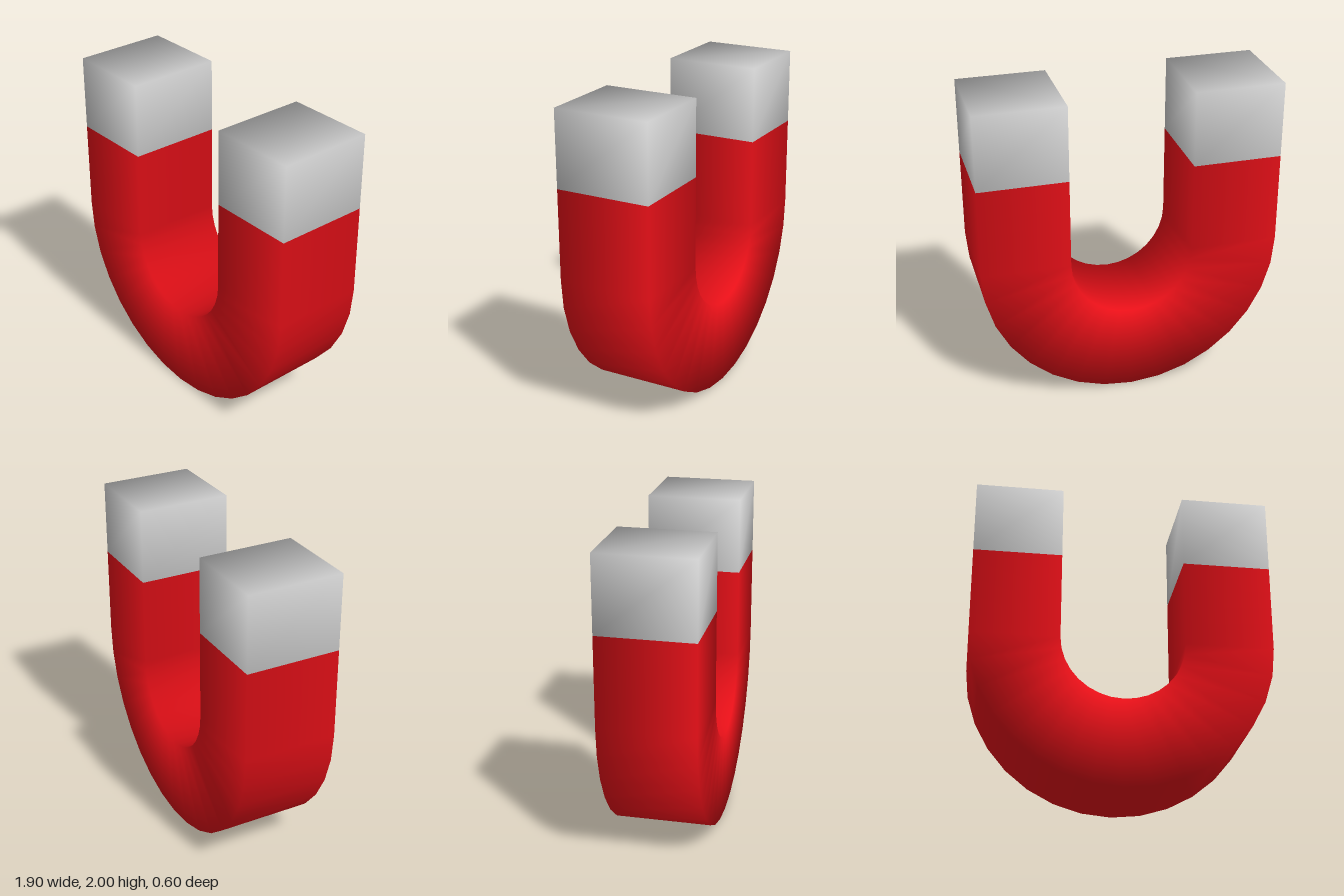
import * as THREE from 'three';

const OUTER = 0.95, INNER = 0.39, HALF_DEPTH = 0.3;
const POLE_Y = 1.52, TOP_Y = 2, ARC_SEGMENTS = 16;

// Rectangular section swept through stations { u: outward direction, y: centre height, lift: normal tilt along +y }.
// Corners share one normal so the edges shade softly.
function sweep(stations, capEnd) {
  const pos = [], nor = [], index = [];
  const corners = [[1, 1], [1, -1], [-1, -1], [-1, 1]]; // outer/inner side, z side
  stations.forEach(({ u, y, lift = 0 }, i) => {
    corners.forEach(([side, z], j) => {
      const r = side > 0 ? OUTER : INNER;
      pos.push(u.x * r, y + u.y * r, z * HALF_DEPTH);
      nor.push(...new THREE.Vector3(u.x * side, u.y * side + lift, z).normalize().toArray());
      if (i === 0) return;
      const a = (i - 1) * 4 + j, b = (i - 1) * 4 + (j + 1) % 4;
      index.push(a, b, b + 4, a, b + 4, a + 4);
    });
  });
  if (capEnd) {
    const k = (stations.length - 1) * 4;
    index.push(k, k + 1, k + 2, k, k + 2, k + 3);
  }
  const geo = new THREE.BufferGeometry();
  geo.setAttribute('position', new THREE.Float32BufferAttribute(pos, 3));
  geo.setAttribute('normal', new THREE.Float32BufferAttribute(nor, 3));
  geo.setIndex(index);
  return geo;
}

export function createModel() {
  const group = new THREE.Group();
  const red = new THREE.MeshStandardMaterial({ color: 0xe81018 });
  const grey = new THREE.MeshStandardMaterial({ color: 0xcccccc });
  const right = new THREE.Vector2(1, 0), left = new THREE.Vector2(-1, 0);

  // U-shaped body: straight leg, half-circle bend, straight leg
  const path = [{ u: left, y: POLE_Y }];
  for (let i = 0; i <= ARC_SEGMENTS; i++) {
    const a = Math.PI * (1 + i / ARC_SEGMENTS);
    path.push({ u: new THREE.Vector2(Math.cos(a), Math.sin(a)), y: OUTER });
  }
  path.push({ u: right, y: POLE_Y });
  const body = new THREE.Mesh(sweep(path, false), red);
  body.name = 'magnetBody';
  group.add(body);

  // Pole tips, closed on top
  const tip = sweep([{ u: right, y: POLE_Y }, { u: right, y: TOP_Y, lift: 1 }], true);
  ['leftPoleTip', 'rightPoleTip'].forEach((name, i) => {
    const pole = new THREE.Mesh(tip, grey);
    pole.name = name;
    pole.rotation.y = i * Math.PI;
    group.add(pole);
  });
  return group;
}
